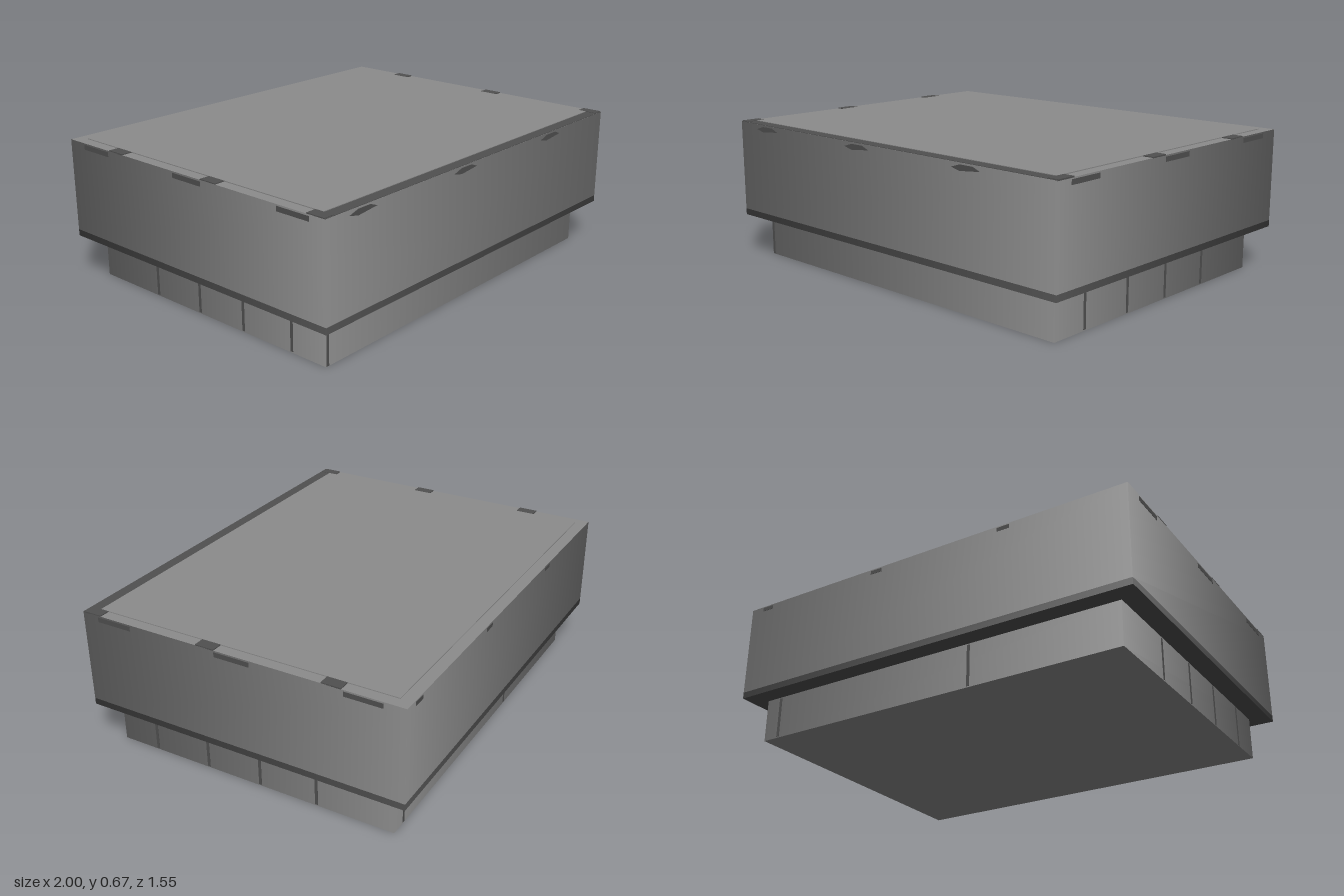
import * as THREE from 'three';

const grey = new THREE.MeshStandardMaterial({ color: 0x8c8c8c });
grey.name = 'stone grey';
const dark = new THREE.MeshStandardMaterial({ color: 0x505050 });
dark.name = 'dark grey';

export function createModel() {
  const group = new THREE.Group();

  function add(name, geometry, material, x, y, z) {
    const mesh = new THREE.Mesh(geometry, material);
    mesh.name = name;
    mesh.position.set(x, y, z);
    group.add(mesh);
    return mesh;
  }
  const box = (name, w, h, d, material, x, y, z) =>
    add(name, new THREE.BoxGeometry(w, h, d), material, x, y, z);

  // A four-sided block whose walls shade smoothly round the corners
  function block(name, w, d, y0, y1, material, x = 0) {
    const geometry = new THREE.CylinderGeometry(Math.SQRT1_2, Math.SQRT1_2, 1, 4, 1, false, Math.PI / 4);
    geometry.scale(w, y1 - y0, d);
    return add(name, geometry, material, x, (y0 + y1) / 2, 0);
  }

  // Main masses
  block('plinth', 1.83, 1.38, 0, 0.2, grey, 0.005);
  block('lowerBand', 2, 1.55, 0.2, 0.23, dark);
  block('upperBody', 2, 1.55, 0.23, 0.663, grey);
  box('lidPanel', 1.9, 0.004, 1.44, grey, 0, 0.665, 0);

  // Dark strip along the front of the lid
  box('frontLidStrip', 2, 0.004, 0.053, dark, 0, 0.663, 0.748);

  // Rim notches on the sides of the lid, with shallow catches on the walls below
  for (const side of [-1, 1]) {
    for (const z of [-0.45, 0.14, 0.725]) {
      box('rimNotch', 0.05, 0.006, 0.09, dark, side * 0.975, 0.664, z);
    }
    for (const z of [-0.59, 0.01, 0.61]) {
      box('sideCatch', 0.004, 0.022, 0.17, dark, side * 0.999, 0.645, z);
    }
  }

  // Flattened diamond catch for the long walls
  const diamond = new THREE.Shape([[-0.08, -0.003], [-0.03, 0.012], [0.04, 0.012], [0.08, -0.003], [-0.03, -0.014]]
    .map(([x, y]) => new THREE.Vector2(x, y)));
  const catchGeometry = new THREE.ExtrudeGeometry(diamond, { depth: 0.004, bevelEnabled: false });
  for (const x of [-0.79, -0.135, 0.53]) add('frontCatch', catchGeometry, dark, x, 0.643, 0.773);
  for (const x of [-0.42, 0.25, 0.9]) {
    box('backCatch', 0.06, 0.018, 0.004, dark, x, 0.648, -0.774);
  }

  // Narrow upright seams in the plinth
  for (const z of [0.505, 0.225, -0.045, -0.325]) {
    for (const x of [-0.91, 0.92]) box('sideSeam', 0.003, 0.19, 0.014, dark, x, 0.1, z);
  }
  for (const x of [0.84, -0.2]) box('backSeam', 0.014, 0.19, 0.003, dark, x, 0.1, -0.69);
  box('frontCornerSeam', 0.014, 0.196, 0.003, dark, -0.9, 0.1, 0.69);

  return group;
}
